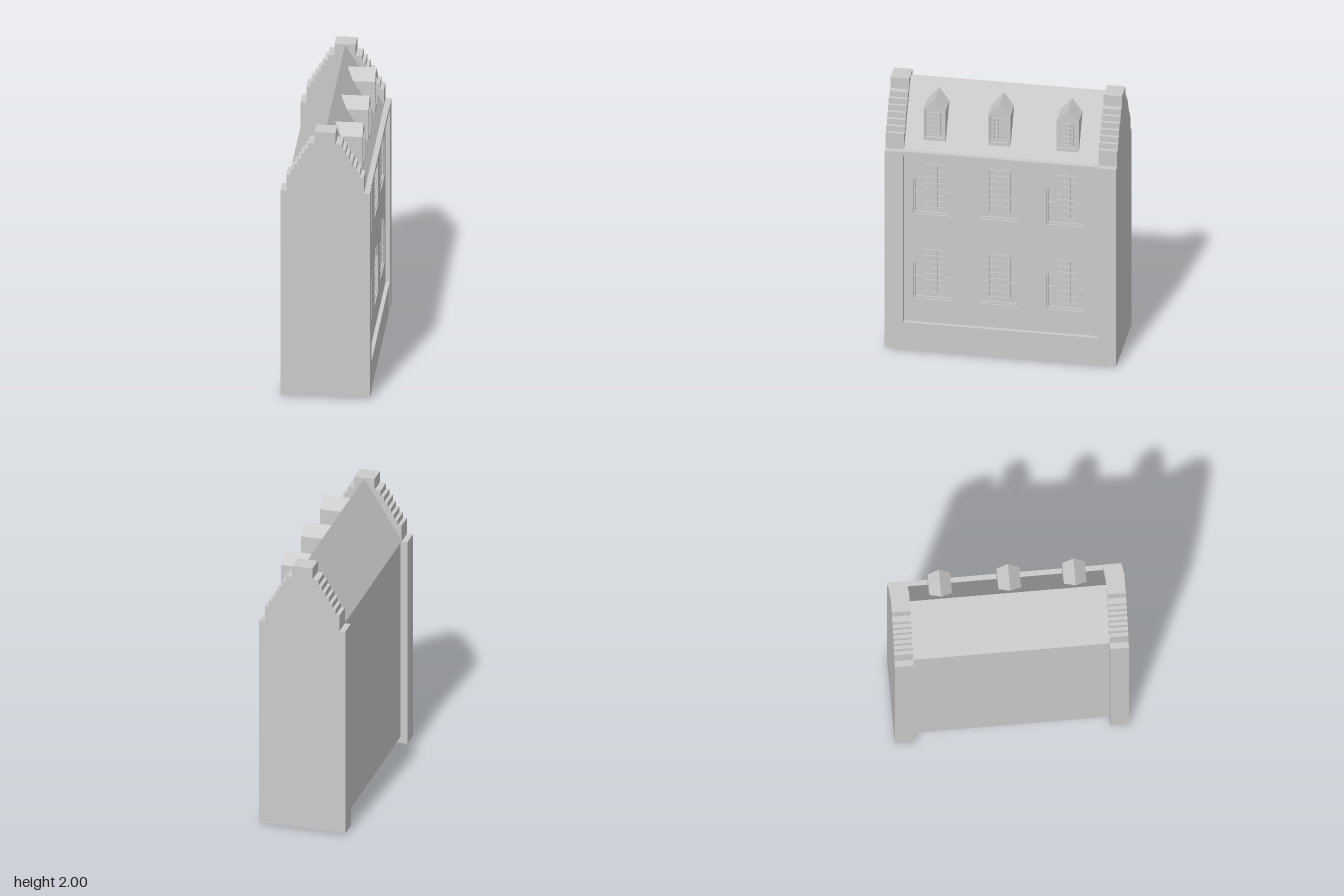
import * as THREE from 'three';

const material = new THREE.MeshStandardMaterial({ color: 0xcccccc, flatShading: true });

function add(parent, name, geometry) {
  const mesh = new THREE.Mesh(geometry, material);
  mesh.name = name;
  parent.add(mesh);
  return mesh;
}

// Box given by its minimum and maximum corners
function box(parent, name, [x0, y0, z0], [x1, y1, z1]) {
  const mesh = add(parent, name, new THREE.BoxGeometry(x1 - x0, y1 - y0, z1 - z0));
  mesh.position.set((x0 + x1) / 2, (y0 + y1) / 2, (z0 + z1) / 2);
  return mesh;
}

const outline = (points) => new THREE.Shape(points.map(([x, y]) => new THREE.Vector2(x, y)));

// Outline in x, y extruded along z
function slab(shape, z0, z1) {
  return new THREE.ExtrudeGeometry(shape, { depth: z1 - z0, bevelEnabled: false }).translate(0, 0, z0);
}

// Outline drawn in (-z, y) extruded along x
const facing = (shape, x0, x1) => slab(shape, x0, x1).rotateY(Math.PI / 2);

// Window grid lying in a plane of constant x
function grid(parent, x, z, y0, width, height, columns, rows, bar) {
  const group = new THREE.Group();
  group.name = 'windowGrid';
  const d = 0.005;
  for (let i = 0; i <= columns; i++) {
    const c = z - width / 2 + (width * i) / columns;
    box(group, 'mullion', [x - d, y0, c - bar / 2], [x + d, y0 + height, c + bar / 2]);
  }
  for (let j = 0; j <= rows; j++) {
    const c = y0 + (height * j) / rows;
    box(group, 'glazingBar', [x - d, c - bar / 2, z - width / 2], [x + d, c + bar / 2, z + width / 2]);
  }
  parent.add(group);
}

// Arched opening, w = half width, inset shrinks it evenly
function archPoints(u, y, inset = 0) {
  const w = 0.14 - inset;
  const half = [[w, inset], [w, 0.27], [w * 0.82, 0.35 - inset * 0.5], [w * 0.5, 0.42 - inset * 0.8], [w * 0.2, 0.445 - inset]];
  const mirrored = half.map(([a, b]) => [-a, b]).reverse();
  return [...half, ...mirrored].map(([a, b]) => [u + a, y + b]);
}

// Stepped gable wall
function gable(parent, sign) {
  const steps = [[0.31, 0.01], [0.31, 1.55], [0.268, 1.55], [0.268, 1.67]];
  const count = 6;
  for (let i = 0; i < count; i++) {
    const x = 0.24 - i * 0.0245;
    steps.push([x, 1.67 + i * 0.041], [x, 1.67 + (i + 1) * 0.041]);
  }
  steps.push([0.073, 1.916], [0.073, 2]);
  const left = steps.map(([x, y]) => [-x, y]).reverse();
  const [z0, z1] = sign > 0 ? [0.68, 0.81] : [-0.81, -0.68];
  add(parent, 'gableWall', slab(outline([...steps, ...left]), z0, z1));
}

// Dormer with a pitched roof running back into the main roof
function dormer(parent, z) {
  const group = new THREE.Group();
  group.name = 'dormer';
  const w = 0.078;
  const pentagon = outline([[-w, 1.62], [w, 1.62], [w, 1.86], [0, 1.935], [-w, 1.86]]);
  pentagon.holes.push(outline([[-0.062, 1.645], [-0.062, 1.85], [0.062, 1.85], [0.062, 1.645]]));
  add(group, 'dormerFront', facing(pentagon, 0.222, 0.235));
  const body = outline([[-w, 1.62], [w, 1.62], [w, 1.86], [0, 1.935], [-w, 1.86]]);
  add(group, 'dormerBody', facing(body, 0.03, 0.222));
  // Keep the back of the body beneath the main roof slope
  const geometry = group.children[1].geometry;
  const p = geometry.attributes.position;
  for (let i = 0; i < p.count; i++) {
    if (p.getX(i) < 0.1) p.setX(i, 0.035 + (1.935 - p.getY(i)) / 1.63);
  }
  geometry.computeVertexNormals();
  grid(group, 0.225, 0, 1.665, 0.075, 0.165, 3, 5, 0.008);
  group.position.z = z;
  parent.add(group);
}

export function createModel() {
  const house = new THREE.Group();
  house.name = 'townHouse';

  // Main body and pitched roof
  const bodyShape = outline([[-0.262, 0.06], [0.262, 0.06], [0.262, 1.56], [-0.262, 1.56]]);
  add(house, 'body', slab(bodyShape, -0.69, 0.69));
  const roofShape = outline([[-0.27, 1.555], [0.27, 1.555], [0, 1.996]]);
  add(house, 'roof', slab(roofShape, -0.69, 0.69));

  gable(house, 1);
  gable(house, -1);

  // Plinth and cornice framing the recessed facade
  box(house, 'plinth', [0.24, 0.01, -0.68], [0.308, 0.22, 0.68]);
  box(house, 'plinthFoot', [0.24, 0, -0.74], [0.305, 0.03, 0.74]);
  box(house, 'cornice', [0.25, 1.52, -0.68], [0.308, 1.555, 0.68]);

  // Facade with arched window openings
  const centres = [0.475, 0.015, -0.455];
  const facade = outline([[-0.68, 0.21], [0.68, 0.21], [0.68, 1.53], [-0.68, 1.53]]);
  for (const y of [0.4, 1.062]) {
    for (const z of centres) {
      facade.holes.push(outline(archPoints(-z, y)));
      const frame = outline(archPoints(-z, y));
      frame.holes.push(outline(archPoints(-z, y, 0.016)));
      add(house, 'windowFrame', facing(frame, 0.26, 0.272));
      grid(house, 0.264, z, y + 0.05, 0.15, 0.33, 3, 7, 0.01);
      for (const side of [-1, 1]) {
        const inner = z + side * 0.075, outer = z + side * 0.135;
        box(house, 'transom', [0.26, y + 0.165, Math.min(inner, outer)], [0.27, y + 0.177, Math.max(inner, outer)]);
      }
    }
  }
  add(house, 'facade', facing(facade, 0.255, 0.28));

  for (const z of [0.473, 0.02, -0.458]) dormer(house, z);
  return house;
}
